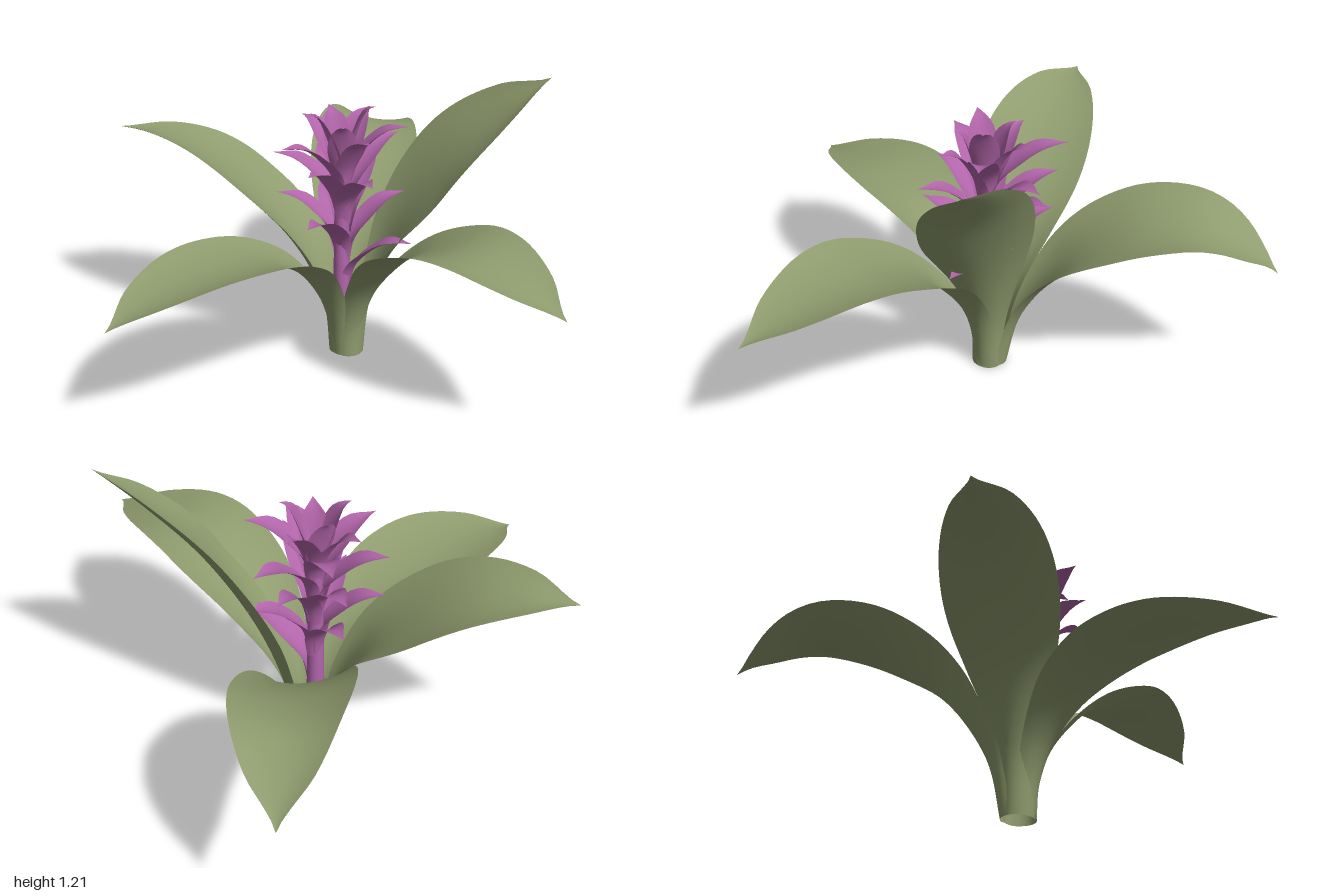
import * as THREE from 'three';

const leafGreen = new THREE.MeshStandardMaterial({ color: 0x8f9c6e, side: THREE.DoubleSide });
leafGreen.name = 'leaf green';
const bractPurple = new THREE.MeshStandardMaterial({ color: 0xb265aa, side: THREE.DoubleSide });
bractPurple.name = 'bract purple';

const evenSpline = (values) => {
  const curve = new THREE.SplineCurve(values.map((v, i) => new THREE.Vector2(i, v)));
  return (t) => Math.max(0, curve.getPoint(t).y);
};

// A channelled blade: cross-section arcs swept along a spine given as [radius, height] points.
// The fold is the half-angle of the arc, opening from the base to the tip; roll twists the blade.
function blade({ spine, width, fold, roll = 0, angle, origin, rows, cols }) {
  const curve = new THREE.SplineCurve(spine.map(([r, y]) => new THREE.Vector2(r, y)));
  const [c, s] = [Math.cos(angle), Math.sin(angle)];
  const positions = [];
  const index = [];
  for (let i = 0; i <= rows; i++) {
    const t = i / rows;
    const p = curve.getPointAt(t);
    const tangent = curve.getTangentAt(t);
    const opening = THREE.MathUtils.smoothstep(t, 0, 0.6);
    const a = THREE.MathUtils.lerp(fold[0], fold[1], opening);
    const radius = width(t) / Math.sin(a);
    for (let j = 0; j <= cols; j++) {
      const q = a * (2 * j / cols - 1);
      const twist = roll * opening;
      const across = radius * Math.sin(q);
      const up = radius * (1 - Math.cos(q));
      const side = across * Math.cos(twist) + up * Math.sin(twist);
      const lift = up * Math.cos(twist) - across * Math.sin(twist);
      const r = p.x - tangent.y * lift;
      const y = p.y + tangent.x * lift;
      positions.push(origin[0] + c * r - s * side, origin[1] + y, origin[2] + s * r + c * side);
      if (i < rows && j < cols) {
        const k = i * (cols + 1) + j;
        const n = k + cols + 1;
        index.push(k, k + 1, n, k + 1, n + 1, n);
      }
    }
  }
  const geometry = new THREE.BufferGeometry();
  geometry.setAttribute('position', new THREE.Float32BufferAttribute(positions, 3));
  geometry.setIndex(index);
  geometry.computeVertexNormals();
  return geometry;
}

export function createModel() {
  const model = new THREE.Group();
  model.name = 'bromeliad';
  const add = (parent, geometry, material, name) => {
    const mesh = new THREE.Mesh(geometry, material);
    mesh.name = name;
    parent.add(mesh);
  };

  // Five broad arching leaves that wrap the base
  const base = [0.16, 0, -0.14];
  const leafWidth = evenSpline([0.057, 0.064, 0.105, 0.165, 0.207, 0.215, 0.185, 0.115, 0]);
  const leaves = [
    { name: 'leftSideLeaf', tip: [-0.98, -0.16], scale: 1, fold: 0.38, roll: 0.04,
      spine: [[0.06, 0], [0.08, 0.15], [0.14, 0.3], [0.26, 0.44], [0.46, 0.54], [0.71, 0.565], [0.96, 0.53], [1.14, 0.475]] },
    { name: 'frontLeaf', tip: [0.17, 0.99], scale: 1.02, fold: 0.38, roll: 0,
      spine: [[0.07, 0], [0.08, 0.15], [0.15, 0.32], [0.33, 0.52], [0.54, 0.635], [0.72, 0.665], [0.92, 0.635], [1.14, 0.575]] },
    { name: 'tallLeaf', tip: [0.68, 0.43], scale: 1, fold: 0.45, roll: 0.36,
      spine: [[0.07, 0], [0.1, 0.25], [0.21, 0.55], [0.4, 0.86], [0.6, 1.07], [0.775, 1.21]] },
    { name: 'droopingLeaf', tip: [0.98, -0.84], scale: 1.04, fold: 0.4, roll: 0.14,
      spine: [[0.07, 0], [0.13, 0.25], [0.3, 0.51], [0.5, 0.66], [0.7, 0.72], [0.85, 0.71], [1.0, 0.63], [1.08, 0.56]] },
    { name: 'backLeaf', tip: [-0.32, -1.0], scale: 0.98, fold: 0.4, roll: 0.15,
      spine: [[0.07, 0], [0.1, 0.25], [0.22, 0.49], [0.4, 0.67], [0.6, 0.8], [0.8, 0.86], [0.985, 0.865]] },
  ];
  for (const { name, tip, scale, fold, roll, spine } of leaves) {
    add(model, blade({
      spine,
      width: (t) => leafWidth(t) * THREE.MathUtils.lerp(1, scale, t),
      fold: [1.25, fold],
      roll,
      angle: Math.atan2(tip[1] - base[2], tip[0] - base[0]),
      origin: base, rows: 40, cols: 12,
    }), leafGreen, name);
  }

  // Flower spike: hollow stem with outward-curling bracts
  const flower = new THREE.Group();
  flower.name = 'flowerSpike';
  model.add(flower);
  const stem = new THREE.CylinderGeometry(0.025, 0.035, 0.72, 16, 1, true);
  stem.translate(0.13, 0.56, -0.135);
  add(flower, stem, bractPurple, 'flowerStem');

  // Each bract: direction in degrees, reach of the tip, height of the tip
  const bracts = [
    [69, 0.3, 0.55], [159, 0.3, 0.67], [290, 0.27, 0.66], [20, 0.27, 0.68], [230, 0.27, 0.7],
    [343, 0.27, 0.8], [108, 0.28, 0.84], [231, 0.28, 0.87], [0, 0.3, 0.9], [290, 0.29, 0.82], [165, 0.24, 0.86],
    [191, 0.27, 0.95], [46, 0.26, 1.0], [302, 0.31, 0.97], [100, 0.2, 0.98], [262, 0.21, 1.0], [345, 0.2, 1.02],
    [45, 0.13, 1.08], [205, 0.14, 1.06], [130, 0.12, 1.03], [285, 0.12, 1.05],
  ];
  const bractWidth = evenSpline([0.03, 0.047, 0.058, 0.045, 0]);
  for (const [degrees, reach, top] of bracts) {
    const rise = 0.25;
    const u = (top - 0.55) / 0.53;
    add(flower, blade({
      spine: [[0.025, 0], [0.045, rise * 0.4], [0.035 + reach * 0.28, rise * 0.75],
        [0.02 + reach * 0.6, rise * 0.97], [reach, rise * 1.03]],
      width: bractWidth,
      fold: [1.1, 0.45],
      angle: THREE.MathUtils.degToRad(degrees),
      origin: [0.145 - 0.02 * u, top - rise * 1.03, -0.138 + 0.01 * u],
      rows: 14, cols: 6,
    }), bractPurple, 'bract');
  }
  return model;
}
